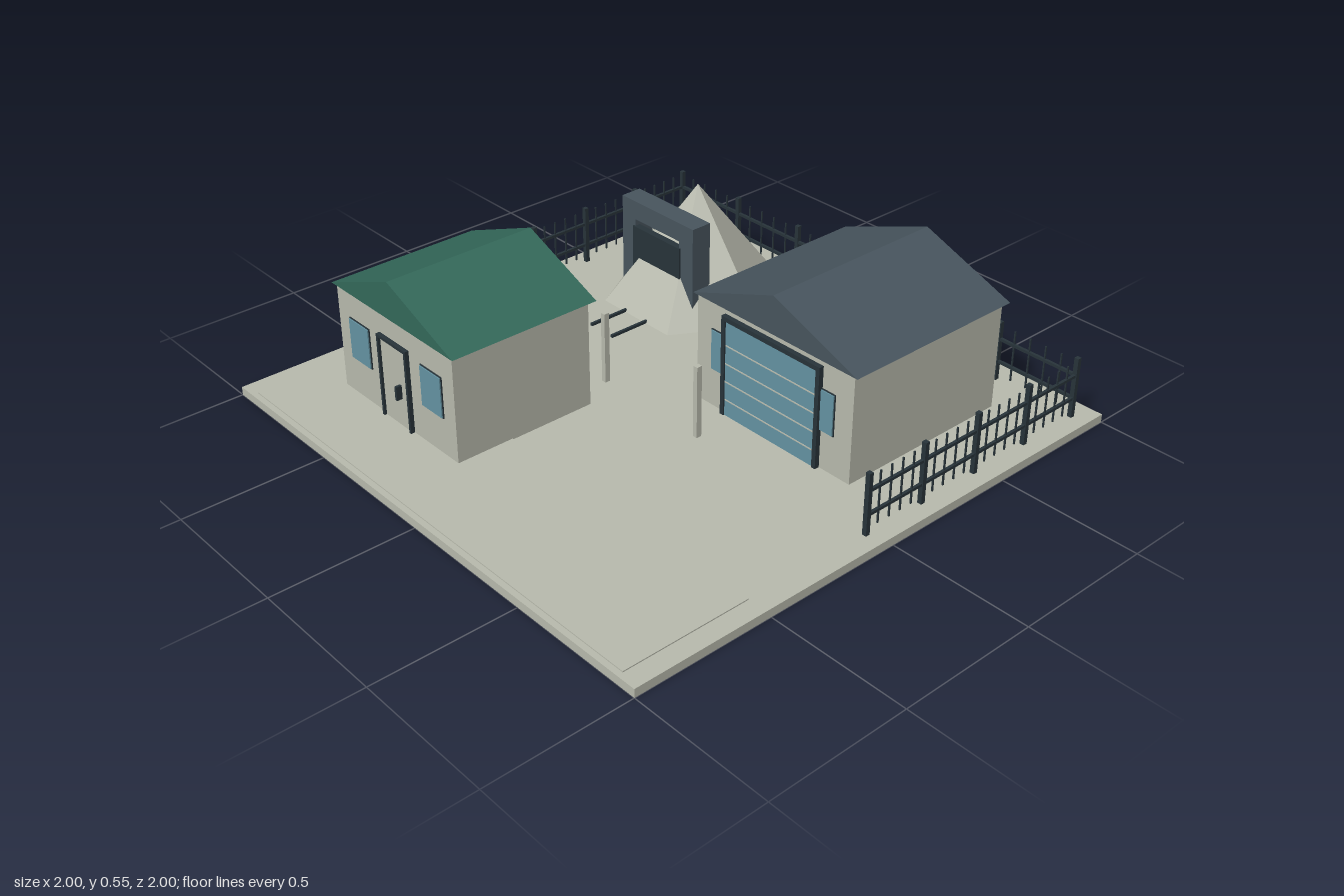
import * as THREE from 'three';

const mat = (name, color) => {
  const m = new THREE.MeshStandardMaterial({ color });
  m.name = name;
  return m;
};

export function createModel() {
  const model = new THREE.Group();
  model.name = 'compound';
  const concrete = mat('concrete', 0xb9bbae);
  const green = mat('greenRoof', 0x34695a);
  const slate = mat('slate', 0x48555e);
  const dark = mat('darkMetal', 0x28343a);
  const glass = mat('blueGlass', 0x6594a3);
  const G = 0.03; // ground level

  const add = (parent, name, geo, material) => {
    const mesh = new THREE.Mesh(geo, material);
    mesh.name = name;
    parent.add(mesh);
    return mesh;
  };
  const group = (name) => {
    const g = new THREE.Group();
    g.name = name;
    model.add(g);
    return g;
  };
  // Box given by its limits on each axis
  const box = (parent, name, material, [x0, x1], [y0, y1], [z0, z1]) =>
    add(parent, name, new THREE.BoxGeometry(x1 - x0, y1 - y0, z1 - z0), material)
      .position.set((x0 + x1) / 2, (y0 + y1) / 2, (z0 + z1) / 2);
  // Two posts and a lintel around an opening
  const frame = (parent, name, material, [x0, x1], top, z, w) => {
    box(parent, name + 'Post', material, [x0, x0 + w], [G, top - w], z);
    box(parent, name + 'Post', material, [x1 - w, x1], [G, top - w], z);
    box(parent, name + 'Lintel', material, [x0, x1], [top - w, top], z);
  };
  // Gabled building with its ridge along z
  const building = (name, x, z, roofX, roofZ, roofMaterial) => {
    const g = group(name);
    box(g, 'walls', concrete, x, [G, 0.415], z);
    const gable = new THREE.Shape([
      new THREE.Vector2(roofX[0], 0.415),
      new THREE.Vector2(roofX[1], 0.415),
      new THREE.Vector2((roofX[0] + roofX[1]) / 2, 0.55),
    ]);
    const roof = new THREE.ExtrudeGeometry(gable, { depth: roofZ[1] - roofZ[0], bevelEnabled: false });
    roof.translate(0, 0, roofZ[0]);
    add(g, 'roof', roof, roofMaterial);
    return g;
  };
  // Window pane with a thin dark border
  const windowPane = (parent, cx, z) => {
    box(parent, 'windowBorder', dark, [cx - 0.056, cx + 0.056], [0.169, 0.318], [z, z + 0.004]);
    box(parent, 'window', glass, [cx - 0.053, cx + 0.053], [0.172, 0.315], [z, z + 0.008]);
  };

  // Ground slab and the low forecourt
  box(model, 'ground', concrete, [-1, 1], [0, G], [-1, 1]);
  box(model, 'forecourt', concrete, [-0.93, 0.93], [G, G + 0.004], [0.52, 0.98]);

  // House
  const house = building('house', [-0.78, -0.15], [0.2, 0.73], [-0.795, -0.132], [0.18, 0.74], green);
  box(house, 'door', concrete, [-0.535, -0.395], [G, 0.325], [0.73, 0.736]);
  frame(house, 'doorFrame', dark, [-0.545, -0.385], 0.335, [0.73, 0.745], 0.01);
  box(house, 'doorHandle', dark, [-0.442, -0.432], [0.14, 0.19], [0.736, 0.757]);
  for (const s of [-1, 1]) windowPane(house, -0.463 + s * 0.197, 0.73);

  // Garage
  const garage = building('garage', [0.045, 0.73], [-0.77, -0.095], [0.028, 0.745], [-0.79, -0.088], slate);
  for (const s of [-1, 1]) windowPane(garage, 0.386 + s * 0.216, -0.095);
  box(garage, 'rollDoor', glass, [0.188, 0.587], [G, 0.383], [-0.095, -0.082]);
  frame(garage, 'rollDoorFrame', dark, [0.172, 0.602], 0.395, [-0.095, -0.077], 0.016);
  for (let i = 0; i < 4; i++) {
    const y = 0.09 + i * 0.067;
    box(garage, 'doorSeam', concrete, [0.19, 0.585], [y - 0.002, y + 0.002], [-0.083, -0.08]);
  }

  // Six-sided mound with an off-centre tip
  const mine = group('mine');
  let mound = new THREE.ConeGeometry(0.337, 0.45, 6).rotateY(Math.PI / 6).toNonIndexed();
  const p = mound.attributes.position;
  for (let i = 0; i < p.count; i++) {
    if (p.getY(i) > 0.1) p.setXYZ(i, 0.03, p.getY(i), 0.025);
  }
  mound.computeVertexNormals();
  add(mine, 'mound', mound, concrete).position.set(-0.487, G + 0.225, -0.577);

  // Mine portal, its door and the track
  frame(mine, 'portal', slate, [-0.675, -0.305], 0.41, [-0.47, -0.39], 0.07);
  box(mine, 'portalDoor', dark, [-0.614, -0.368], [G, 0.315], [-0.41, -0.384]);
  for (const x of [-0.546, -0.436]) {
    box(mine, 'track', dark, [x - 0.005, x + 0.005], [G, G + 0.01], [-0.39, -0.13]);
  }

  // Gate posts
  for (const x of [-0.228, 0.222]) {
    box(model, 'gatePost', concrete, [x - 0.009, x + 0.009], [G, 0.29], [0.058, 0.078]);
  }

  // Fence on three sides
  const fence = group('fence');
  const upright = (name, x, z, r, y0, y1) =>
    box(fence, name, dark, [x - r, x + r], [y0, y1], [z - r, z + r]);
  const run = (x0, z0, x1, z1, spans, first) => {
    for (const y of [0.1, 0.185]) {
      box(fence, 'fenceRail', dark, [x0 - 0.005, x1 + 0.005], [y - 0.005, y + 0.005], [z0 - 0.005, z1 + 0.005]);
    }
    for (let i = first; i <= spans * 5; i++) {
      const t = i / (spans * 5);
      const x = x0 + (x1 - x0) * t, z = z0 + (z1 - z0) * t;
      if (i % 5 === 0) upright('fencePost', x, z, 0.008, G, 0.25);
      else upright('fencePicket', x, z, 0.0025, 0.05, 0.237);
    }
  };
  run(-0.938, -0.915, 0.938, -0.915, 6, 0);
  for (const x of [-0.938, 0.938]) run(x, -0.915, x, 0.053, 4, 1);

  return model;
}
